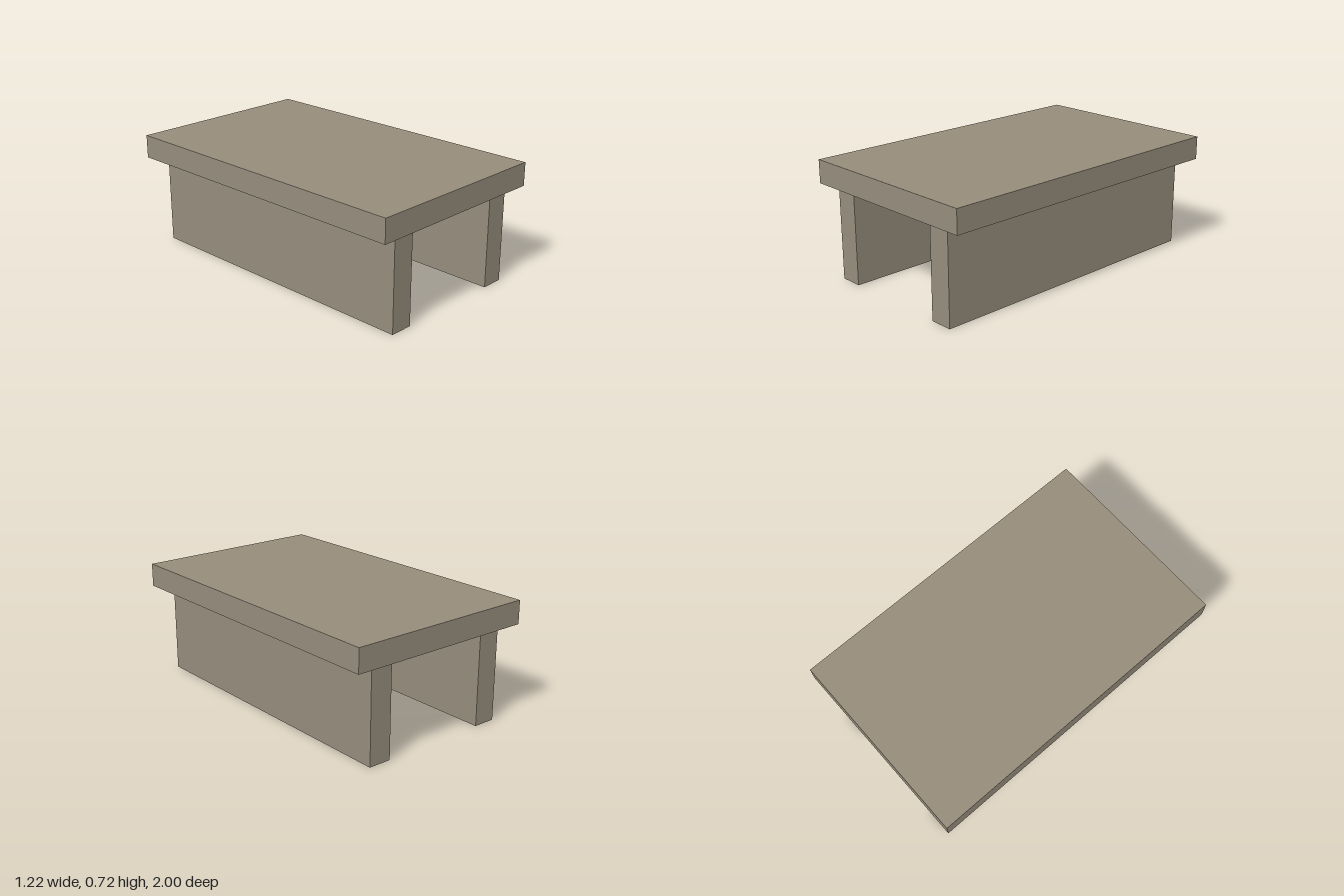
import * as THREE from 'three';

export function createModel() {
  const group = new THREE.Group();
  const stone = new THREE.MeshStandardMaterial({ color: 0x958c7b });
  stone.name = 'warm grey stone';

  // Box resting with its underside at height y
  const addBlock = (name, width, height, depth, x, y) => {
    const mesh = new THREE.Mesh(new THREE.BoxGeometry(width, height, depth), stone);
    mesh.name = name;
    mesh.position.set(x, y + height / 2, 0);
    group.add(mesh);
  };

  const legHeight = 0.578;

  // Overhanging top slab
  addBlock('topSlab', 1.222, 0.145, 2, 0, legHeight);

  // Two long upright supports
  for (const side of [-1, 1]) {
    addBlock(side > 0 ? 'leftSupport' : 'rightSupport', 0.143, legHeight, 1.912, side * 0.412, 0);
  }

  return group;
}
